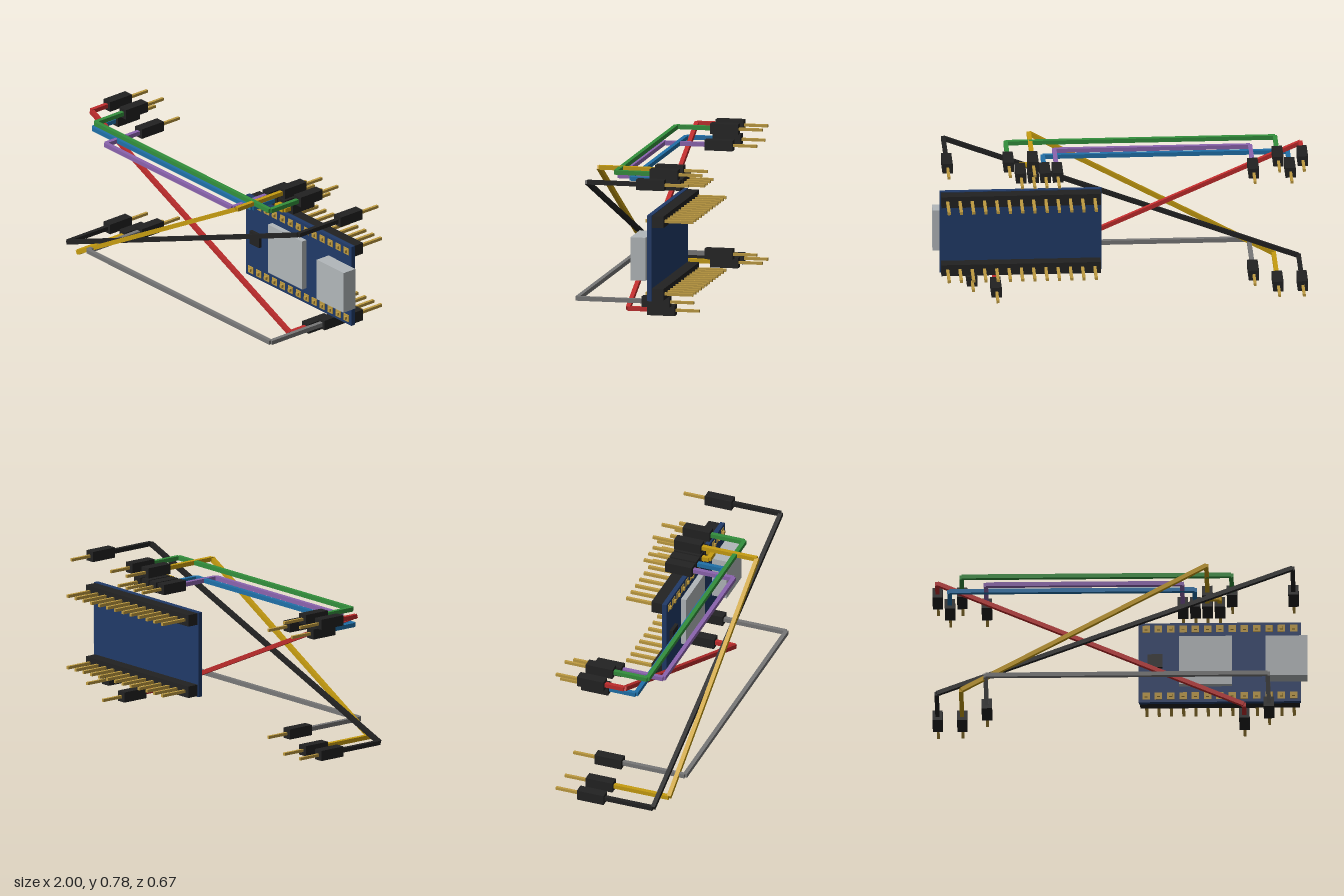
import * as THREE from 'three';

const mat = (name, color) => {
  const m = new THREE.MeshStandardMaterial({ color });
  m.name = name;
  return m;
};

export function createModel() {
  const black = mat('black plastic', 0x222222);
  const gold = mat('gold metal', 0xbd9a40);
  const navy = mat('navy board', 0x203a68);
  const silver = mat('silver metal', 0xb2b7ba);
  const red = mat('red wire', 0xbf2c2c);
  const blue = mat('blue wire', 0x2070a8);
  const green = mat('green wire', 0x338f3c);
  const purple = mat('purple wire', 0x8b64ae);
  const yellow = mat('yellow wire', 0xc69c10);
  const gray = mat('gray wire', 0x777777);

  const model = new THREE.Group();
  model.name = 'wiredCircuitBoard';

  // Box given by its lower and upper bounds on each axis
  const box = (parent, name, material, [x0, x1], [y0, y1], [z0, z1]) => {
    const mesh = new THREE.Mesh(new THREE.BoxGeometry(x1 - x0, y1 - y0, z1 - z0), material);
    mesh.position.set((x0 + x1) / 2, (y0 + y1) / 2, (z0 + z1) / 2);
    mesh.name = name;
    parent.add(mesh);
    return mesh;
  };
  const around = (c, size) => [c - size / 2, c + size / 2];

  const PITCH = 0.0655;
  const BOARD_FRONT = -0.091, BOARD_BACK = -0.116, HOUSING_BACK = -0.18;

  // Circuit board with its components
  const board = new THREE.Group();
  board.name = 'board';
  model.add(board);
  box(board, 'boardPlate', navy, [0.099, 0.965], [0.126, 0.59], [BOARD_BACK, BOARD_FRONT]);
  box(board, 'metalShield', silver, [0.314, 0.596], [0.217, 0.5], [BOARD_FRONT, -0.061]);
  box(board, 'usbSocket', silver, [0.778, 1], [0.242, 0.475], [BOARD_FRONT, -0.008]);
  box(board, 'smallChip', black, [0.147, 0.227], [0.325, 0.4], [BOARD_FRONT, -0.073]);

  // Two pin header rows, each with 13 pins through gold pads
  for (const y of [0.162, 0.555]) {
    const header = new THREE.Group();
    header.name = 'pinHeader';
    board.add(header);
    box(header, 'headerStrip', black, [0.106, 0.958], around(y, 0.063), [HOUSING_BACK, BOARD_BACK]);
    for (let i = 0; i < 13; i++) {
      const x = 0.139 + i * PITCH;
      box(header, 'headerPin', gold, around(x, 0.016), around(y, 0.016), [-0.335, -0.076]);
      box(header, 'solderPad', gold, around(x, 0.04), around(y, 0.04), [BOARD_FRONT, -0.088]);
    }
  }

  // Plug: black housing with a pin to the back
  const addPlug = (parent, x, y) => {
    box(parent, 'plugHousing', black, around(x, 0.055), around(y, 0.056), [HOUSING_BACK, -0.027]);
    box(parent, 'plugPin', gold, around(x, 0.015), around(y, 0.015), [-0.309, HOUSING_BACK]);
  };

  // Jumper wire: a plug and forward leg at each end, joined by a straight span
  const T = 0.023;
  const addJumper = (name, material, [xa, ya], [xb, yb], z) => {
    const jumper = new THREE.Group();
    jumper.name = name;
    model.add(jumper);
    for (const [x, y] of [[xa, ya], [xb, yb]]) {
      addPlug(jumper, x, y);
      box(jumper, 'wireLeg', material, around(x, T), around(y, T), [-0.027, z]);
    }
    const length = Math.hypot(xb - xa, yb - ya);
    const span = new THREE.Mesh(new THREE.BoxGeometry(length, T, T), material);
    span.name = 'wireSpan';
    span.position.set((xa + xb) / 2, (ya + yb) / 2, z);
    span.rotation.z = Math.atan2(yb - ya, xb - xa);
    jumper.add(span);
  };

  // Plug rows from the top down
  const R1 = 0.751, R2 = 0.685, R3 = 0.096, R4 = 0.029;
  addJumper('redJumper', red, [-0.973, R1], [0.663, R4], 0.081);
  addJumper('blueJumper', blue, [-0.907, R2], [0.401, R2], 0.122);
  addJumper('greenJumper', green, [-0.842, R1], [0.597, R1], 0.163);
  addJumper('purpleJumper', purple, [-0.711, R2], [0.335, R2], 0.203);
  addJumper('blackJumper', black, [-0.973, R4], [0.925, R1], 0.245);
  addJumper('yellowJumper', yellow, [-0.842, R4], [0.466, R1], 0.286);
  addJumper('grayJumper', gray, [-0.711, R3], [0.794, R3], 0.327);
  addJumper('shortYellowJumper', yellow, [0.466, R2], [0.532, R2], 0.011);

  return model;
}
